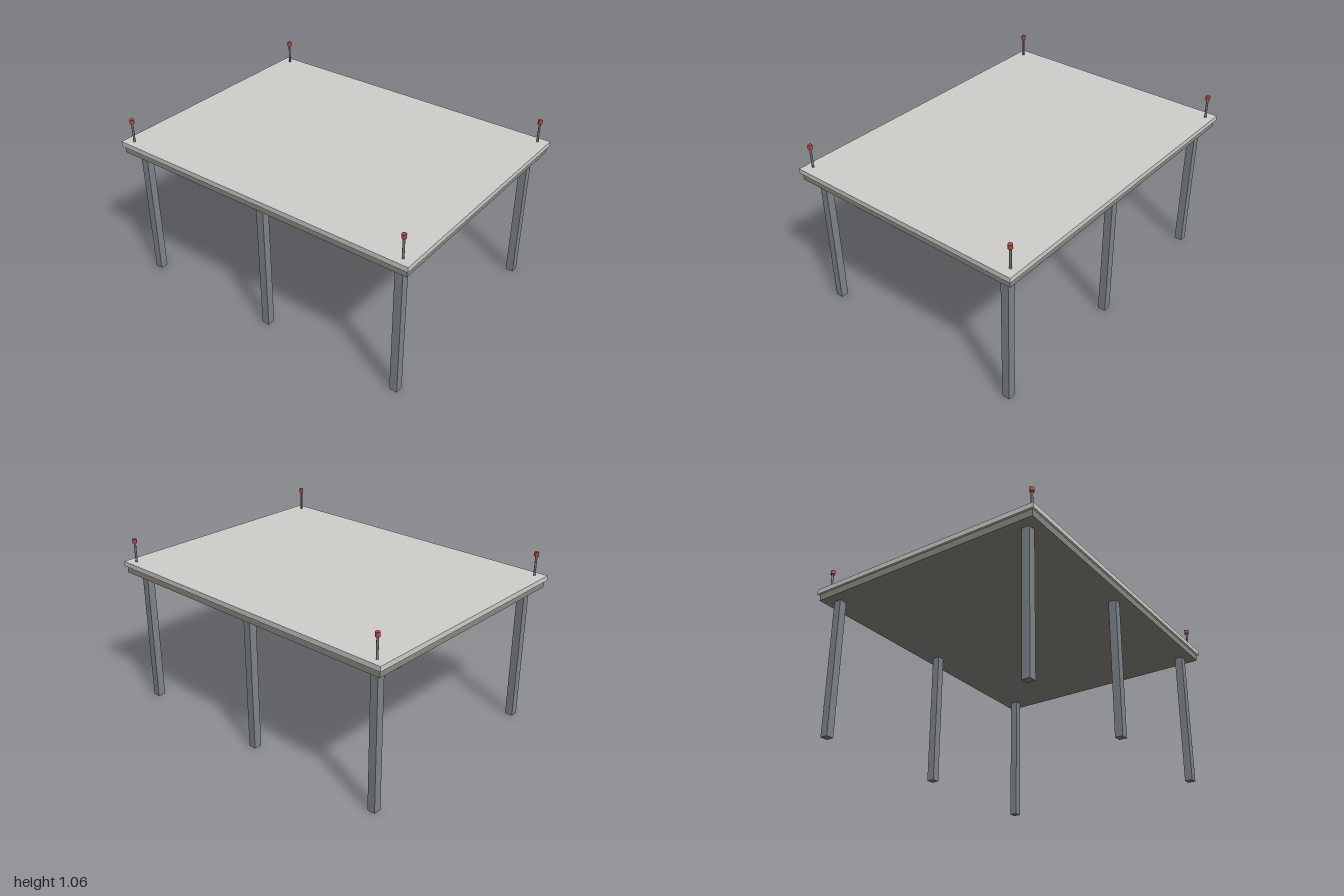
import * as THREE from 'three';

const material = (color) => new THREE.MeshStandardMaterial({ color });

export function createModel() {
  const model = new THREE.Group();
  const slabMat = material(0xd0cecb);
  const frameMat = material(0x8c8a82);
  const legMat = material(0x80868b);
  const postMat = material(0x74787c);
  const capMat = material(0xb5483c);

  const add = (name, geometry, mat, x, y, z) => {
    const mesh = new THREE.Mesh(geometry, mat);
    mesh.name = name;
    mesh.position.set(x, y, z);
    model.add(mesh);
  };

  // Top slab and the slightly smaller deck beneath it
  add('topSlab', new THREE.BoxGeometry(2, 0.03, 1.516), slabMat, 0, 0.903, 0);
  add('deckFrame', new THREE.BoxGeometry(1.976, 0.041, 1.492), frameMat, 0, 0.8675, 0);

  // Three square legs along each long side
  const legGeometry = new THREE.BoxGeometry(0.048, 0.847, 0.048);
  for (const z of [-0.662, 0.662]) {
    for (const x of [-0.904, 0, 0.904]) add('leg', legGeometry, legMat, x, 0.4235, z);
  }

  // Thin corner rods with red caps
  const rodGeometry = new THREE.CylinderGeometry(0.0065, 0.0065, 0.122, 12);
  const capGeometry = new THREE.CylinderGeometry(0.0135, 0.0135, 0.025, 12);
  for (const z of [-0.711, 0.711]) {
    for (const x of [-0.94, 0.94]) {
      add('cornerRod', rodGeometry, postMat, x, 0.978, z);
      add('rodCap', capGeometry, capMat, x, 1.0495, z);
    }
  }
  return model;
}
